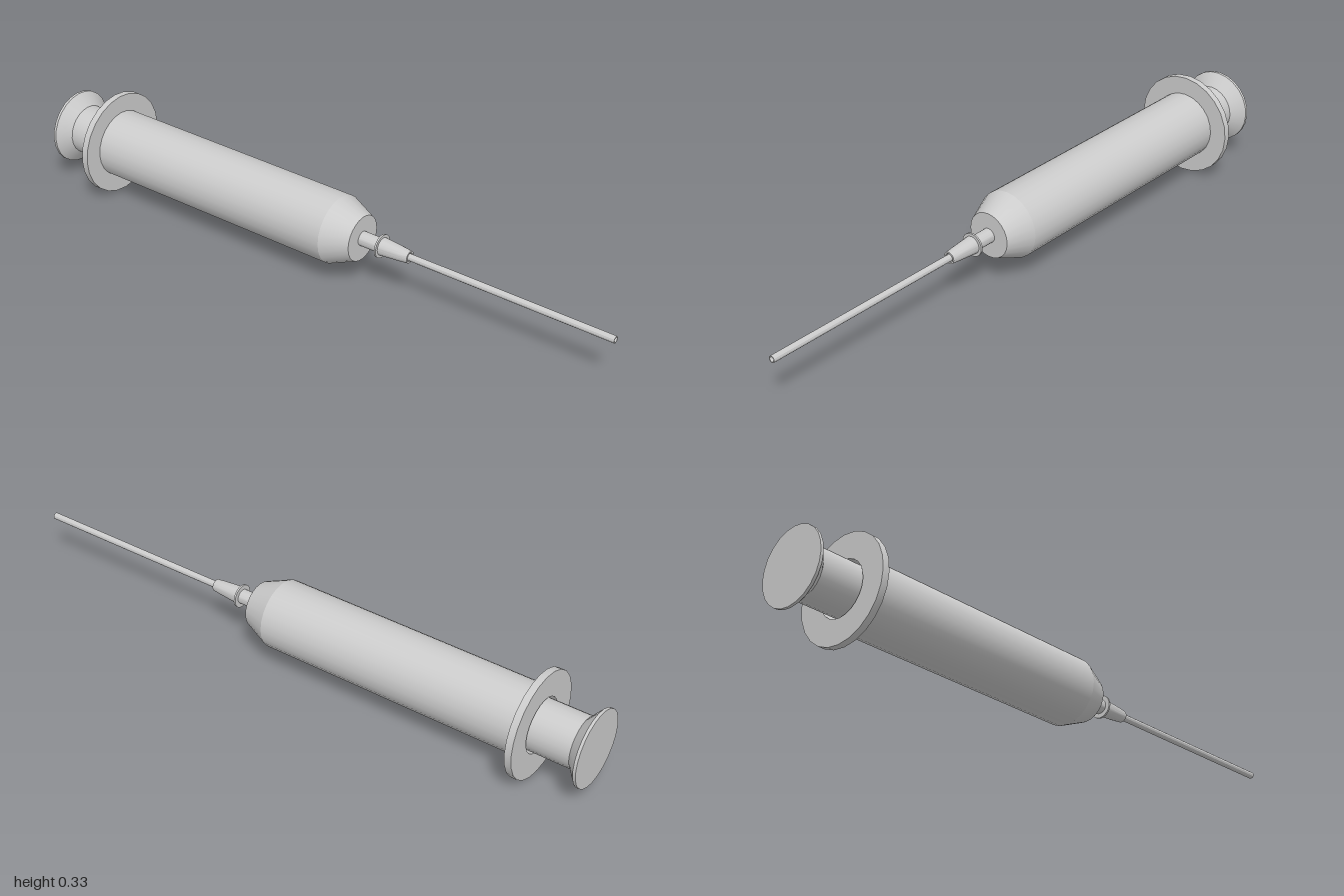
import * as THREE from 'three';
import { toCreasedNormals } from 'three/addons/utils/BufferGeometryUtils.js';

const material = new THREE.MeshStandardMaterial({ color: 0xcccccc });

// Turned part on the x axis; profile is a list of [x, radius] running outside-first
function turned(name, profile, sides = 24) {
  const points = profile.map(([x, r]) => new THREE.Vector2(r, x));
  const geometry = new THREE.LatheGeometry(points, sides);
  geometry.rotateZ(-Math.PI / 2);
  const mesh = new THREE.Mesh(toCreasedNormals(geometry, 0.34), material);
  mesh.name = name;
  return mesh;
}

export function createModel() {
  const syringe = new THREE.Group();
  syringe.name = 'syringe';

  // Plunger: thumb rest flaring from the rod, which runs inside the barrel
  syringe.add(turned('plunger', [
    [-1, 0], [-1, 0.12], [-0.991, 0.12], [-0.974, 0.1], [-0.957, 0.08],
    [-0.3, 0.08], [-0.3, 0],
  ]));

  // Hollow barrel with finger flange and tapered shoulder
  syringe.add(turned('barrel', [
    [0.1, 0], [0.06, 0.087], [-0.828, 0.087], [-0.828, 0.167],
    [-0.806, 0.167], [-0.806, 0.109], [0.07, 0.109],
    [0.155, 0.073], [0.155, 0],
  ]));

  // Nozzle between the barrel and the needle hub
  syringe.add(turned('nozzle', [[0.15, 0], [0.15, 0.023], [0.24, 0.023], [0.24, 0]]));

  // Needle hub: thin collar, tapering body and recessed front
  syringe.add(turned('needleHub', [
    [0.222, 0], [0.222, 0.037], [0.228, 0.037], [0.228, 0.028],
    [0.3, 0.022], [0.325, 0.019], [0.325, 0.014], [0.31, 0.012], [0.31, 0],
  ]));

  // Needle: thin tube with an open bore
  syringe.add(turned('needle', [
    [0.29, 0], [0.29, 0.011], [1, 0.011], [1, 0.008], [0.9, 0.008], [0.9, 0],
  ], 12));

  syringe.position.y = 0.167;
  const model = new THREE.Group();
  model.add(syringe);
  return model;
}
